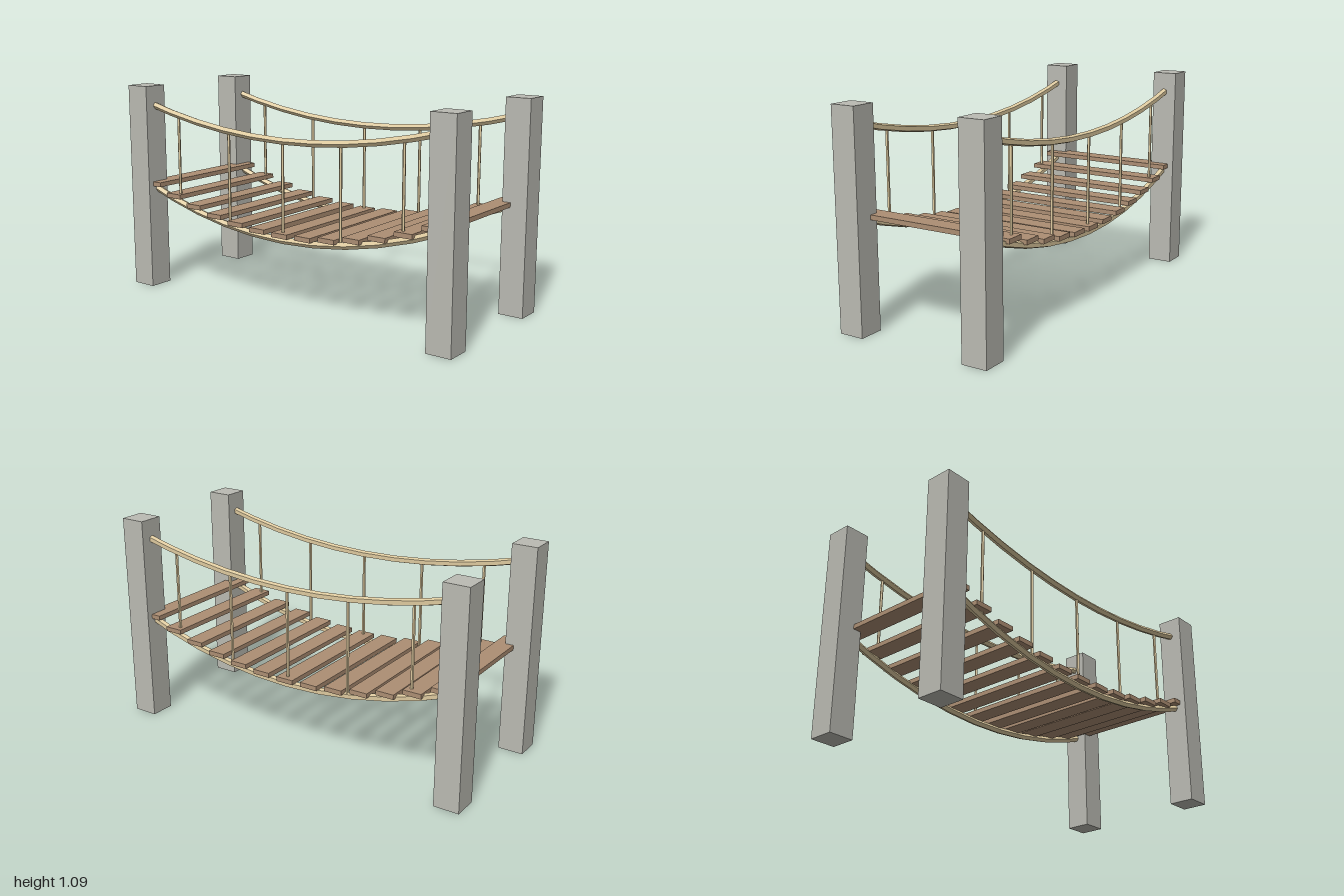
import * as THREE from 'three';

const stone = new THREE.MeshStandardMaterial({ color: 0xbbbbb3, flatShading: true });
const wood = new THREE.MeshStandardMaterial({ color: 0xad8f74, flatShading: true });
const hemp = new THREE.MeshStandardMaterial({ color: 0xdfcba0, flatShading: true });

const POST_X = 0.934, SIDE_Z = 0.35;

// Height of each sagging line at x
const deckY = x => 0.405 + 0.213 * x * x;
const footRopeY = x => 0.376 + 0.212 * x * x;
const handRopeY = x => 0.873 + 0.147 * x * x;

function add(parent, name, geometry, material, x = 0, y = 0, z = 0) {
  const mesh = new THREE.Mesh(geometry, material);
  mesh.name = name;
  mesh.position.set(x, y, z);
  parent.add(mesh);
}

// Five-sided rope following a height function between the posts
function ropeGeometry(heightAt) {
  const points = Array.from({ length: 11 }, (_, i) => {
    const x = POST_X * (i / 5 - 1);
    return new THREE.Vector3(x, heightAt(x), 0);
  });
  return new THREE.TubeGeometry(new THREE.CatmullRomCurve3(points), 10, 0.018, 5);
}

export function createModel() {
  const bridge = new THREE.Group();
  bridge.name = 'ropeBridge';

  // Corner posts
  const postGeometry = new THREE.BoxGeometry(0.132, 1.09, 0.132);
  for (const x of [-POST_X, POST_X])
    for (const z of [-SIDE_Z, SIDE_Z])
      add(bridge, 'post', postGeometry, stone, x, 0.545, z);

  // Deck planks, level but following the sag
  const plankGeometry = new THREE.BoxGeometry(0.096, 0.024, 0.77);
  for (let i = -6; i <= 6; i++) {
    const x = i * 0.144;
    add(bridge, 'plank', plankGeometry, wood, x, deckY(x), 0);
  }

  // Ropes and hangers on both sides
  const footRope = ropeGeometry(footRopeY);
  const handRope = ropeGeometry(handRopeY);
  for (const z of [-SIDE_Z, SIDE_Z]) {
    add(bridge, 'footRope', footRope, hemp, 0, 0, z);
    add(bridge, 'handRope', handRope, hemp, 0, 0, z);
    for (let i = -2; i <= 2; i++) {
      const x = i * 0.35, low = footRopeY(x), high = handRopeY(x);
      const hanger = new THREE.CylinderGeometry(0.008, 0.008, high - low, 5);
      add(bridge, 'hanger', hanger, hemp, x, (low + high) / 2, z);
    }
  }
  return bridge;
}
